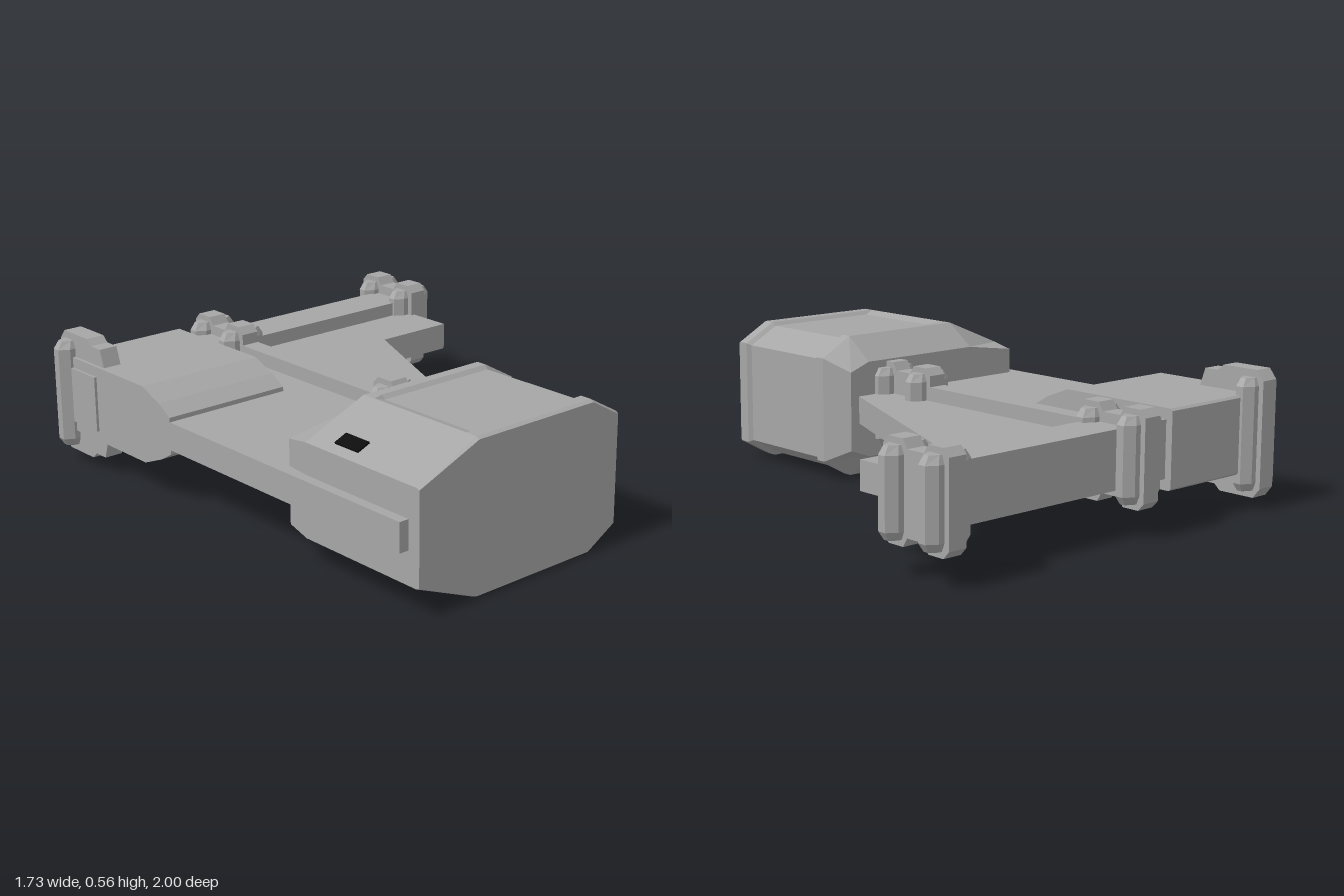
import * as THREE from 'three';

const grey = new THREE.MeshStandardMaterial({ color: 0xa6a6a6, flatShading: true });
grey.name = 'grey';
const black = new THREE.MeshStandardMaterial({ color: 0x0a0a0a });
black.name = 'black';

const MID = 0.288; // height of the horizontal symmetry plane

function add(parent, name, geometry, material = grey, x = 0, y = 0, z = 0) {
  const mesh = new THREE.Mesh(geometry, material);
  mesh.name = name;
  mesh.position.set(x, y, z);
  parent.add(mesh);
  return mesh;
}

// Skin over counter-clockwise rings [z, [[x, y], ...]], ordered by rising z, with end caps
function loft(sections) {
  const pos = [];
  const tri = (...pts) => pts.forEach((p) => pos.push(...p));
  const rings = sections.map(([z, pts]) => pts.map(([x, y]) => [x, y, z]));
  const n = rings[0].length;
  for (let i = 0; i < rings.length - 1; i++) {
    for (let j = 0; j < n; j++) {
      const k = (j + 1) % n;
      const [a, b, c, d] = [rings[i][j], rings[i][k], rings[i + 1][k], rings[i + 1][j]];
      tri(a, b, c);
      tri(a, c, d);
    }
  }
  const first = rings[0], last = rings[rings.length - 1];
  for (let j = 1; j < n - 1; j++) {
    tri(first[0], first[j + 1], first[j]);
    tri(last[0], last[j], last[j + 1]);
  }
  const g = new THREE.BufferGeometry();
  g.setAttribute('position', new THREE.Float32BufferAttribute(pos, 3));
  g.computeVertexNormals();
  return g;
}

// Upper half of an outline plus its mirror image below
const mirrored = (half) => [...half, ...half.slice().reverse().map(([x, y]) => [x, -y])];

// Outline in (z, y) extruded across x, centred on x = 0
function extrudeX(points, width) {
  const shape = new THREE.Shape(points.map(([a, b]) => new THREE.Vector2(a, b)));
  const g = new THREE.ExtrudeGeometry(shape, { depth: width, bevelEnabled: false });
  g.translate(0, 0, -width / 2);
  g.rotateY(-Math.PI / 2);
  return g;
}

// Upright eight-sided lobe with chamfered ends
function lobeGeometry(h) {
  const outline = mirrored([[0.097, 0.016], [0.06, 0.04], [-0.06, 0.04], [-0.097, 0.016]]);
  const small = outline.map(([x, y]) => [x * 0.8, y * 0.7]);
  const g = loft([[-h, small], [-h + 0.03, outline], [h - 0.03, outline], [h, small]]);
  g.rotateX(-Math.PI / 2);
  return g;
}

// Clamp: a stepped strap along z with vertical lobes around it
function clamp(parent, name, x, z, profile, lobeHalf, lobeOffsets) {
  const group = new THREE.Group();
  group.name = name;
  group.position.set(x, MID + 0.004, z);
  parent.add(group);
  add(group, 'strap', extrudeX(mirrored(profile), 0.074));
  for (const dz of lobeOffsets) add(group, 'lobe', lobeGeometry(lobeHalf), grey, 0, 0, dz);
}

export function createModel() {
  const model = new THREE.Group();
  model.name = 'frameAssembly';

  // Flat base plate with a slanted right edge
  const outline = [[-0.825, -0.95], [0.04, -0.95], [0.04, -0.345], [0.41, 0.505],
    [0.745, 0.505], [0.745, 0.84], [-0.825, 0.84]];
  const plateShape = new THREE.Shape(outline.map(([x, y]) => new THREE.Vector2(x, y)));
  const plate = new THREE.ExtrudeGeometry(plateShape, { depth: 0.107, bevelEnabled: false });
  plate.rotateX(-Math.PI / 2);
  add(model, 'basePlate', plate, grey, 0, 0.238, 0);

  // Beams across the back and along the middle
  add(model, 'backBeam', new THREE.BoxGeometry(1.6, 0.215, 0.175), grey, -0.035, 0.292, -0.83);
  add(model, 'middleBeam', new THREE.BoxGeometry(0.075, 0.212, 1.2), grey, -0.138, 0.293, -0.24);

  // Front housing: chamfered shell with a recessed band between two rims
  const outer = [[0.138, 0.205], [0.005, 0.279], [-0.485, 0.279], [-0.53, 0.279], [-0.787, 0.172]];
  const recessed = [[0.124, 0.197], [0, 0.265], [-0.485, 0.265], [-0.53, 0.279], [-0.787, 0.172]];
  const back = [[0.08, 0.155], [-0.01, 0.188], [-0.485, 0.188], [-0.55, 0.188], [-0.775, 0.155]];
  const front = [[0.13, 0.2], [0.002, 0.272], [-0.485, 0.272], [-0.53, 0.272], [-0.787, 0.168]];
  const rings = [[0.345, back], [0.445, outer], [0.485, outer], [0.5, recessed],
    [0.925, recessed], [0.94, outer], [0.985, outer], [1, front]];
  add(model, 'frontHousing', loft(rings.map(([z, half]) => [z, mirrored(half)])), grey, 0, MID, 0);

  // Dark vents on the upper and lower slopes of the housing
  for (const side of [1, -1]) {
    const vent = add(model, side > 0 ? 'upperVent' : 'lowerVent',
      new THREE.BoxGeometry(0.055, 0.009, 0.115), black, -0.725, MID + side * 0.2, 0.61);
    vent.rotation.z = side * 0.394;
  }

  // Rear housing with sloped front edges
  const rear = mirrored([[-0.275, 0.07], [-0.34, 0.108], [-0.44, 0.148], [-0.935, 0.148], [-0.945, 0.14]]);
  add(model, 'rearHousing', extrudeX(rear, 0.52), grey, -0.565, MID + 0.004, 0);

  // Clamps holding the beams
  const strap = [[0.155, 0.15], [0.13, 0.177], [0.06, 0.177], [0.04, 0.145],
    [-0.04, 0.145], [-0.06, 0.177], [-0.13, 0.177], [-0.155, 0.15]];
  const pair = [-0.095, 0.095];
  clamp(model, 'middleRearClamp', -0.138, -0.845, strap, 0.155, pair);
  clamp(model, 'leftRearClamp', 0.765, -0.845, strap, 0.155, pair);
  clamp(model, 'middleFrontClamp', -0.138, 0.245, strap, 0.155, pair);
  const tallStrap = [[0.14, 0.14], [0.115, 0.215], [0.055, 0.215], [0.03, 0.238],
    [-0.125, 0.238], [-0.155, 0.2]];
  clamp(model, 'rightRearClamp', -0.775, -0.845, tallStrap, 0.21, [-0.095]);

  return model;
}
